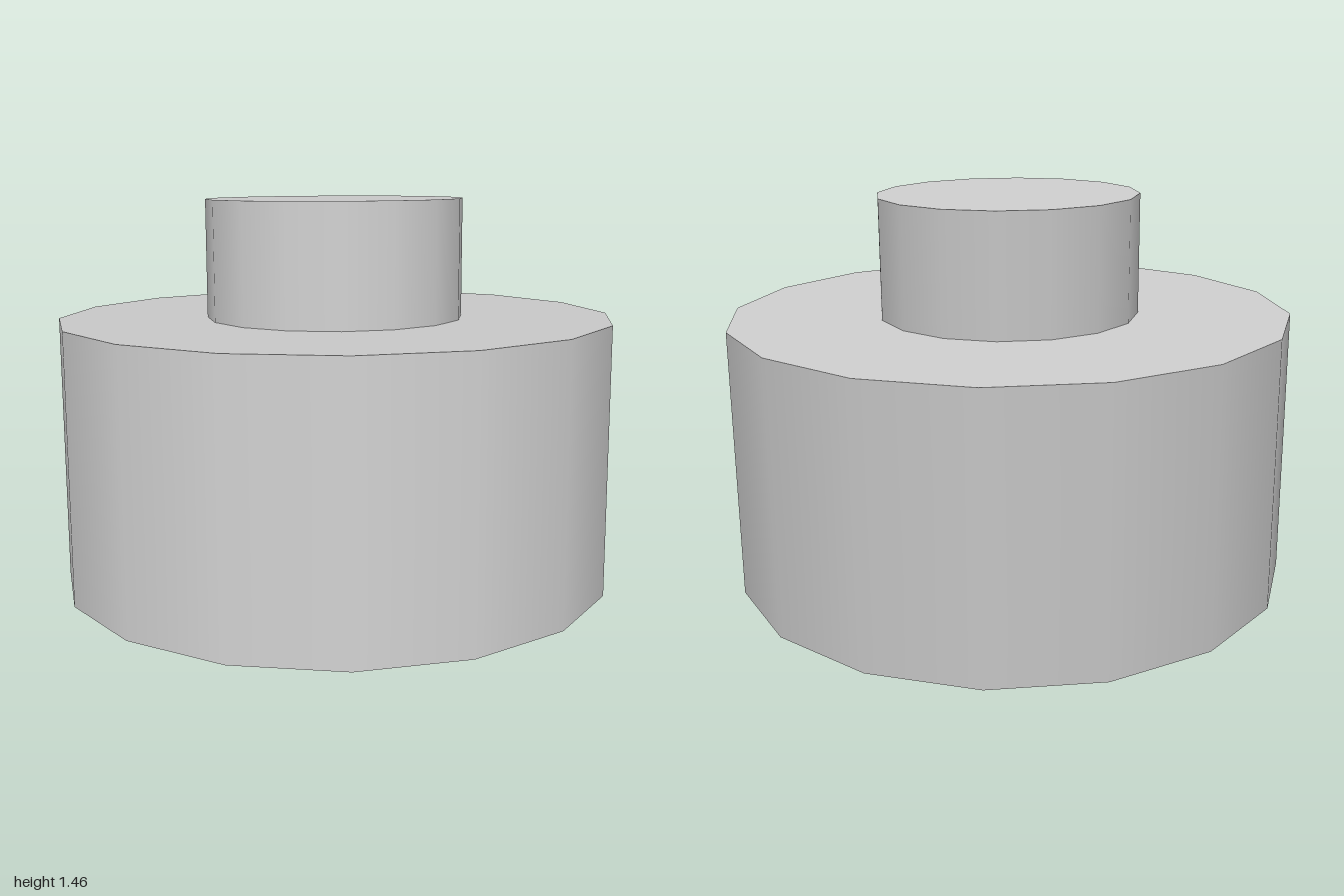
import * as THREE from 'three';

const SIDES = 16;
const BODY_RADIUS = 0.96, BODY_HEIGHT = 0.92;
const KNOB_RADIUS = 0.445, KNOB_HEIGHT = 0.407;
const TILT = -0.0962;

export function createModel() {
  const model = new THREE.Group();
  model.name = 'tiltedSteppedCap';

  // Thin open shell, so the inside shows from below
  const grey = new THREE.MeshStandardMaterial({ color: 0xcccccc, side: THREE.DoubleSide });
  grey.name = 'plain grey';

  const add = (name, geometry, y) => {
    const mesh = new THREE.Mesh(geometry, grey);
    mesh.name = name;
    mesh.position.y = y;
    model.add(mesh);
  };
  const wall = (radius, height) =>
    new THREE.CylinderGeometry(radius, radius, height, SIDES, 1, true);

  // Wide body, open at the bottom
  add('bodyWall', wall(BODY_RADIUS, BODY_HEIGHT), BODY_HEIGHT / 2);
  add('shoulder', new THREE.RingGeometry(KNOB_RADIUS, BODY_RADIUS, SIDES).rotateX(-Math.PI / 2), BODY_HEIGHT);

  // Narrow knob rising from the shoulder
  add('knobWall', wall(KNOB_RADIUS, KNOB_HEIGHT), BODY_HEIGHT + KNOB_HEIGHT / 2);
  add('knobTop', new THREE.CircleGeometry(KNOB_RADIUS, SIDES).rotateX(-Math.PI / 2), BODY_HEIGHT + KNOB_HEIGHT);

  // Lean the whole piece back, resting on its rear edge
  model.rotation.x = TILT;
  model.position.set(0, BODY_RADIUS * Math.sin(-TILT), 0.044);
  return model;
}
